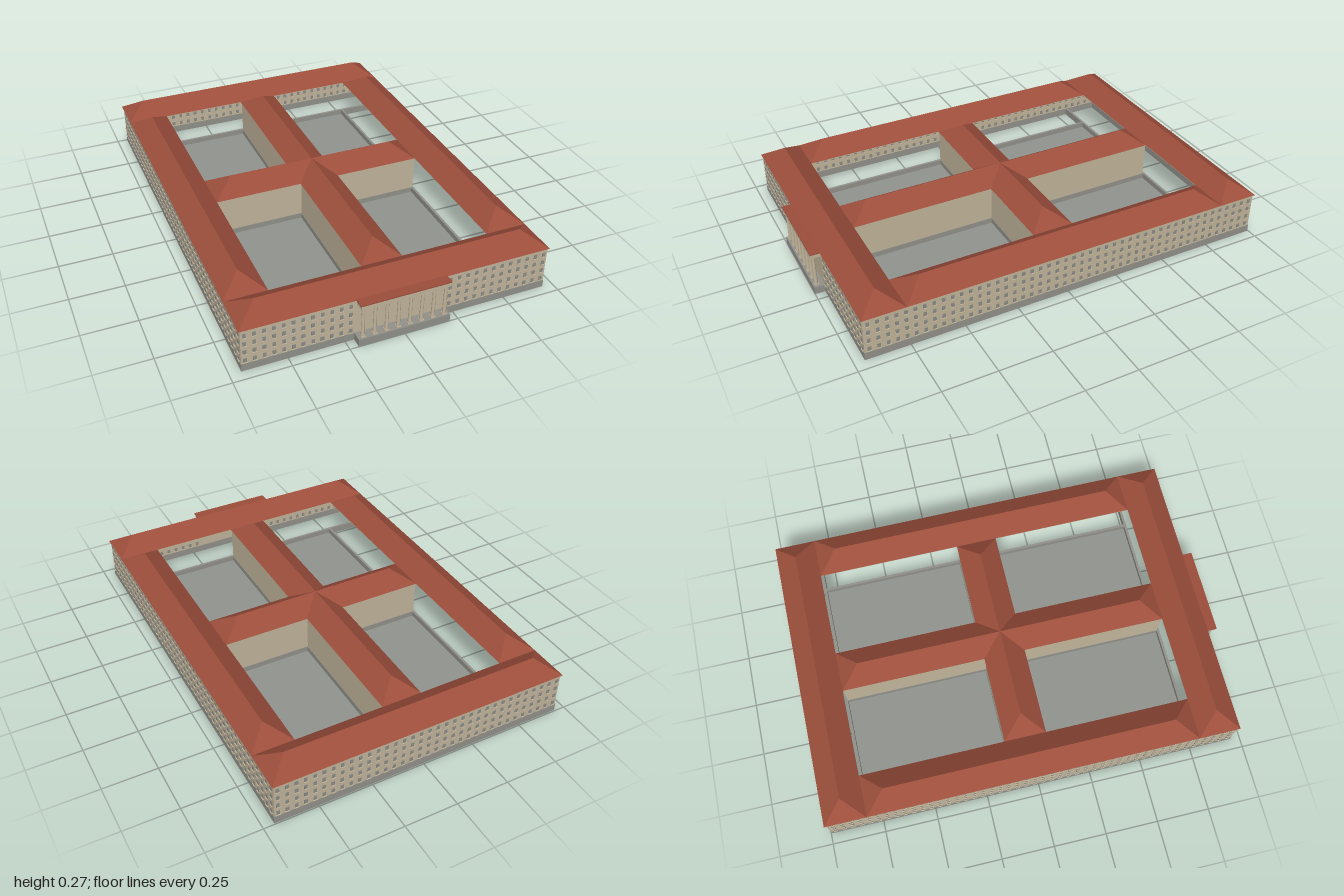
import * as THREE from 'three';
import { mergeGeometries } from 'three/addons/utils/BufferGeometryUtils.js';

const material = (name, color, side = THREE.FrontSide) => {
  const m = new THREE.MeshStandardMaterial({ color, side });
  m.name = name;
  return m;
};

// Levels and wing footprints
const BASE = 0.036, EAVE = 0.208, RIDGE = 0.273;
const FRONT = 0.953, BACK = -0.995, SIDE = 0.7;
const INNER_FRONT = 0.76, INNER_BACK = -0.805, INNER_SIDE = 0.51;

// Box given by its extents
function box(x0, x1, y0, y1, z0, z1) {
  const g = new THREE.BoxGeometry(x1 - x0, y1 - y0, z1 - z0);
  return g.translate((x0 + x1) / 2, (y0 + y1) / 2, (z0 + z1) / 2);
}

// Hipped roof over a rectangle, ridge along its longer side
function hipRoof(x0, x1, z0, z1) {
  const w = x1 - x0, d = z1 - z0, h = Math.min(w, d) / 2;
  const cx = (x0 + x1) / 2, cz = (z0 + z1) / 2;
  const a = [x0, EAVE, z1], b = [x1, EAVE, z1], c = [x1, EAVE, z0], e = [x0, EAVE, z0];
  const alongX = w > d;
  const p = alongX ? [x0 + h, RIDGE, cz] : [cx, RIDGE, z1 - h];
  const q = alongX ? [x1 - h, RIDGE, cz] : [cx, RIDGE, z0 + h];
  const tris = alongX
    ? [a, b, q, a, q, p, c, e, p, c, p, q, b, c, q, e, a, p]
    : [b, c, q, b, q, p, e, a, p, e, p, q, a, b, p, c, e, q];
  const g = new THREE.BufferGeometry();
  g.setAttribute('position', new THREE.Float32BufferAttribute(tris.flat(), 3));
  g.computeVertexNormals();
  return g;
}

export function createModel() {
  const stone = material('wallStone', 0xc2b59b);
  const grey = material('plinthGrey', 0x92918a);
  const paving = material('courtyardPaving', 0x92948f);
  const tile = material('roofTile', 0x9c4e3b);
  const glass = material('windowGrey', 0x8b8b87);

  const model = new THREE.Group();
  model.name = 'courtyardBuilding';
  const add = (name, geometry, mat) => {
    const mesh = new THREE.Mesh(geometry, mat);
    mesh.name = name;
    model.add(mesh);
  };

  // Courtyard ground
  add('courtyardFloor', box(-INNER_SIDE, INNER_SIDE, 0, 0.01, INNER_BACK, INNER_FRONT), paving);

  // Grey plinth: outer ring, inner courtyard kerbs and the two crossing wings
  const t = 0.012;
  const strips = [
    box(-SIDE, SIDE, 0, BASE, FRONT - t, FRONT),
    box(-SIDE, SIDE, 0, BASE, BACK, BACK + t),
    box(-SIDE, SIDE, 0, BASE, INNER_FRONT, INNER_FRONT + t),
    box(-SIDE, SIDE, 0, BASE, INNER_BACK - t, INNER_BACK),
    box(-0.092, 0.092, 0.001, BASE, INNER_BACK, INNER_FRONT),
    box(-INNER_SIDE, INNER_SIDE, 0.001, BASE, -0.117, 0.072),
  ];
  for (const s of [-1, 1]) {
    const strip = (x) => box(x - t / 2, x + t / 2, 0, BASE, BACK, FRONT);
    strips.push(strip(s * (SIDE - t / 2)));
    strips.push(box(s * INNER_SIDE - t / 2, s * INNER_SIDE + t / 2, 0, BASE, INNER_BACK, INNER_FRONT));
  }
  add('plinth', mergeGeometries(strips), grey);

  // Outer walls, open towards the courtyards
  const wt = 0.01, X = SIDE - 0.002, ZF = FRONT - 0.002, ZB = BACK + 0.002;
  add('frontWall', box(-X, X, BASE, EAVE, ZF - wt, ZF), stone);
  add('backWall', box(-X, X, BASE, EAVE, ZB, ZB + wt), stone);
  add('leftWall', box(X - wt, X, BASE, EAVE, ZB, ZF), stone);
  add('rightWall', box(-X, -X + wt, BASE, EAVE, ZB, ZF), stone);

  // Solid crossing wings
  add('spineWing', box(-0.09, 0.09, BASE, EAVE, INNER_BACK, INNER_FRONT), stone);
  add('crossWing', box(-INNER_SIDE, INNER_SIDE, BASE, EAVE, -0.115, 0.07), stone);

  // Windows and sills run through the thin outer walls
  const panes = [], sills = [];
  const rows = [0.053, 0.095, 0.137, 0.179];
  const opening = (x, z, alongX) => {
    for (const y of rows) {
      const pane = alongX ? [0.015, 0.02, wt + 0.004] : [wt + 0.004, 0.02, 0.015];
      const sill = alongX ? [0.019, 0.003, wt + 0.012] : [wt + 0.012, 0.003, 0.019];
      panes.push(new THREE.BoxGeometry(...pane).translate(x, y, z));
      sills.push(new THREE.BoxGeometry(...sill).translate(x, y - 0.0115, z));
    }
  };
  const pitch = 0.0413;
  for (let i = 0; i < 34; i++) {
    const x = (i - 16.5) * pitch;
    if (Math.abs(x) > 0.2) opening(x, ZF - wt / 2, true);
    opening(x, ZB + wt / 2, true);
  }
  for (let i = 0; i < 47; i++) {
    const z = (FRONT + BACK) / 2 + (i - 23) * pitch;
    opening(X - wt / 2, z, false);
    opening(-X + wt / 2, z, false);
  }
  add('windows', mergeGeometries(panes), glass);
  add('windowSills', mergeGeometries(sills), stone);

  // Roofs with the ceilings below them
  const wings = {
    front: [-0.705, 0.705, INNER_FRONT, 0.957],
    back: [-0.705, 0.705, -1, INNER_BACK],
    left: [INNER_SIDE, 0.705, INNER_BACK, INNER_FRONT],
    right: [-0.705, -INNER_SIDE, INNER_BACK, INNER_FRONT],
    spine: [-0.096, 0.096, INNER_BACK, INNER_FRONT],
    cross: [-INNER_SIDE, INNER_SIDE, -0.121, 0.076],
  };
  for (const [name, [x0, x1, z0, z1]] of Object.entries(wings)) {
    add(name + 'Roof', hipRoof(x0, x1, z0, z1), tile);
    add(name + 'Ceiling', box(x0, x1, EAVE - 0.003, EAVE, z0, z1), stone);
  }

  // Entrance portico
  add('porticoBase', box(-0.21, 0.21, 0, BASE, FRONT, 1), grey);
  add('porticoBeam', box(-0.202, 0.202, 0.187, 0.207, FRONT, 0.998), stone);
  add('porticoRoof', box(-0.206, 0.206, 0.207, 0.212, FRONT, 1), tile);
  for (let i = 0; i < 8; i++) {
    const x = (i - 3.5) * 0.0535, z = 0.984;
    const parts = [
      new THREE.CylinderGeometry(0.0065, 0.0085, 0.187 - BASE, 12).translate(x, (0.187 + BASE) / 2, z),
      box(x - 0.01, x + 0.01, BASE, BASE + 0.005, z - 0.01, z + 0.01),
      box(x - 0.009, x + 0.009, 0.182, 0.187, z - 0.009, z + 0.009),
    ];
    add('porticoColumn', mergeGeometries(parts), stone);
  }
  return model;
}
